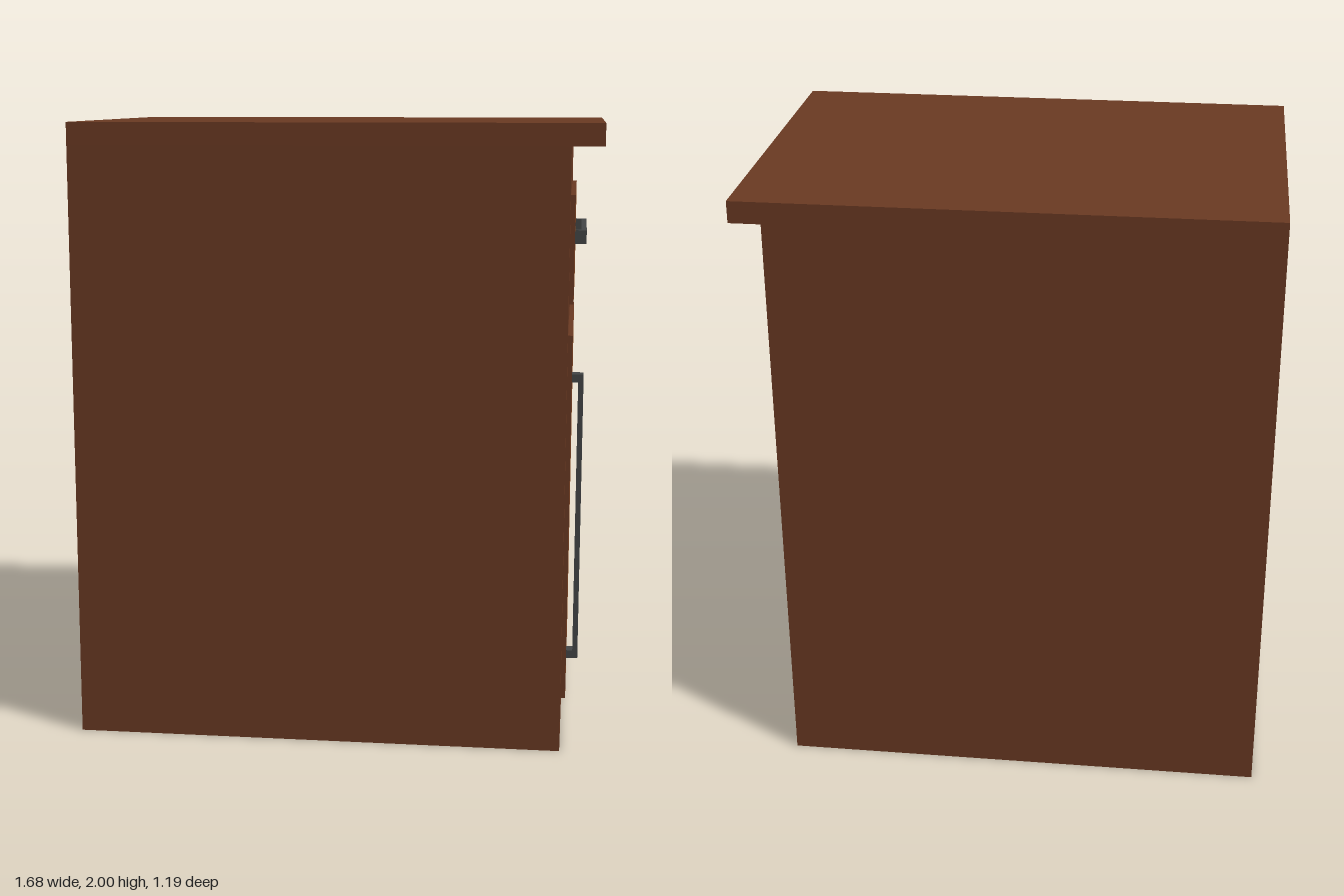
import * as THREE from 'three';

const material = (name, color) => {
  const m = new THREE.MeshStandardMaterial({ color });
  m.name = name;
  return m;
};

export function createModel() {
  const darkWood = material('dark wood', 0x6b3a23);
  const panelWood = material('panel wood', 0x8a4a21);
  const metal = material('handle metal', 0x444647);
  const cabinet = new THREE.Group();
  cabinet.name = 'cabinet';

  // Box given by its limits on each axis
  const box = (parent, name, mat, [x0, x1], [y0, y1], [z0, z1]) => {
    const mesh = new THREE.Mesh(new THREE.BoxGeometry(x1 - x0, y1 - y0, z1 - z0), mat);
    mesh.position.set((x0 + x1) / 2, (y0 + y1) / 2, (z0 + z1) / 2);
    mesh.name = name;
    parent.add(mesh);
  };

  // Carcass and overhanging top
  box(cabinet, 'carcass', darkWood, [-0.84, 0.738], [0, 1.93], [-0.596, 0.596]);
  box(cabinet, 'top', darkWood, [-0.84, 0.84], [1.93, 2], [-0.596, 0.596]);

  // Raised panels: lighter face, dark edges
  const panelMats = [panelWood, darkWood, darkWood, darkWood, darkWood, darkWood];
  box(cabinet, 'drawerFront', panelMats, [0.73, 0.753], [1.433, 1.776], [-0.45, 0.477]);
  box(cabinet, 'door', panelMats, [0.73, 0.753], [0.135, 1.333], [-0.461, 0.466]);

  // Bar handles, each on two short posts
  const handle = (name, y, z, vertical) => {
    const group = new THREE.Group();
    group.name = name;
    box(group, 'bar', metal, [0.773, 0.79], y, z);
    const t = 0.026;
    const [a, b] = vertical ? y : z;
    for (const span of [[a, a + t], [b - t, b]]) {
      box(group, 'post', metal, [0.75, 0.774], vertical ? span : y, vertical ? z : span);
    }
    cabinet.add(group);
  };
  handle('drawerHandle', [1.61, 1.654], [-0.255, 0.304], false);
  handle('doorHandle', [0.248, 1.198], [0.345, 0.391], true);

  return cabinet;
}
